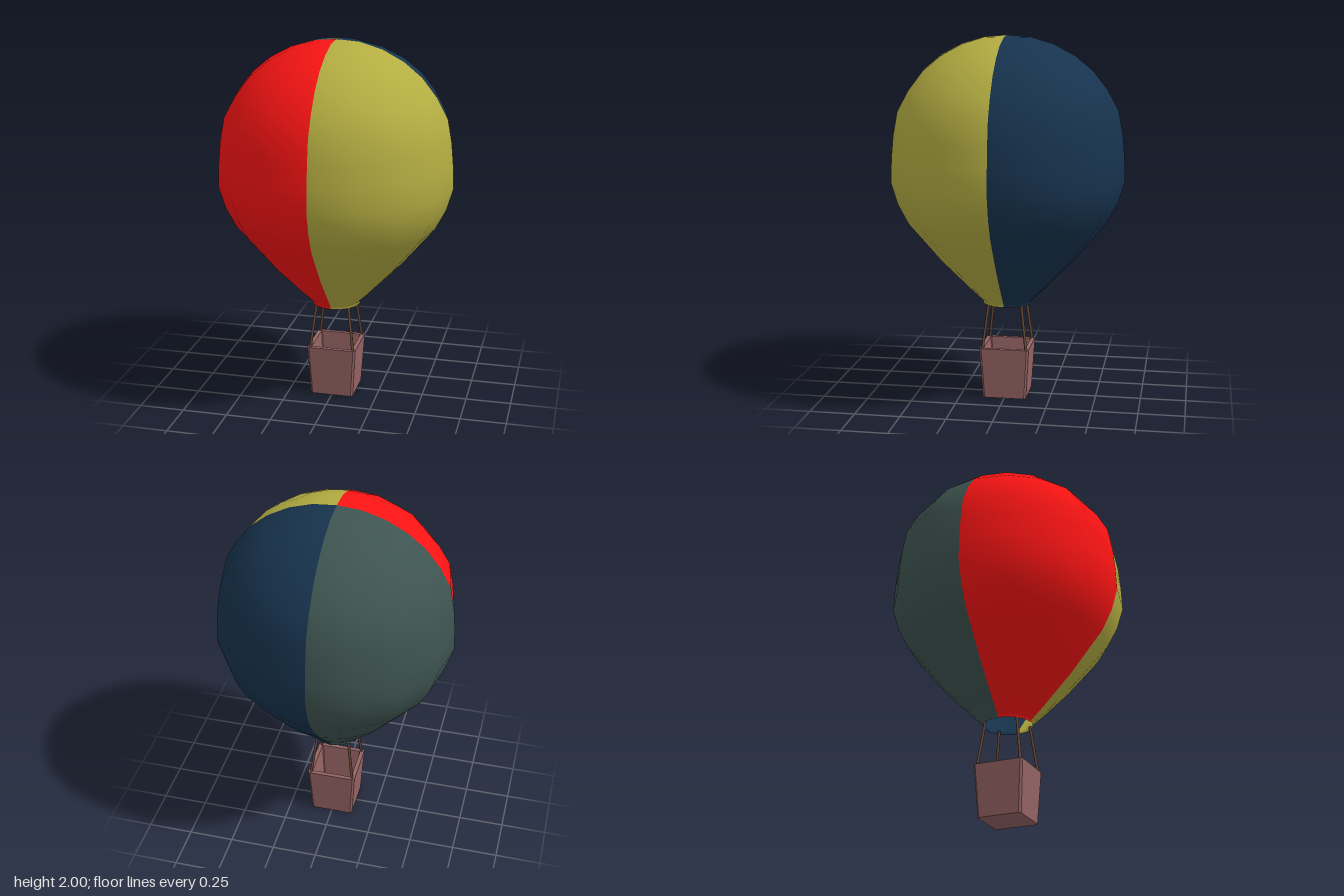
import * as THREE from 'three';

const material = (color, extra = {}) => new THREE.MeshStandardMaterial({ color, ...extra });

// Square ring with cut corners, counter-clockwise seen from above
function ring(half, cut, y) {
  const a = half, b = half - cut;
  return [[a, b], [a, -b], [b, -a], [-b, -a], [-a, -b], [-a, b], [-b, a], [b, a]]
    .map(([x, z]) => new THREE.Vector3(x, y, z));
}

// Joins successive rings with quads and caps both ends
function loft(rings) {
  const pos = [];
  const tri = (...pts) => pts.forEach((p) => pos.push(p.x, p.y, p.z));
  for (let k = 0; k < rings.length - 1; k++) {
    const lo = rings[k], hi = rings[k + 1];
    for (let i = 0; i < lo.length; i++) {
      const j = (i + 1) % lo.length;
      tri(lo[i], lo[j], hi[j]);
      tri(lo[i], hi[j], hi[i]);
    }
  }
  const first = rings[0], last = rings[rings.length - 1];
  for (let i = 1; i < first.length - 1; i++) {
    tri(first[0], first[i + 1], first[i]);
    tri(last[0], last[i], last[i + 1]);
  }
  const geometry = new THREE.BufferGeometry();
  geometry.setAttribute('position', new THREE.Float32BufferAttribute(pos, 3));
  geometry.computeVertexNormals();
  return geometry;
}

function rope(from, to, radius, mat) {
  const dir = to.clone().sub(from);
  const mesh = new THREE.Mesh(new THREE.CylinderGeometry(radius, radius, dir.length(), 6), mat);
  mesh.position.copy(from).add(to).multiplyScalar(0.5);
  mesh.quaternion.setFromUnitVectors(new THREE.Vector3(0, 1, 0), dir.normalize());
  return mesh;
}

export function createModel() {
  const model = new THREE.Group();
  model.name = 'hotAirBalloon';

  // Envelope: four coloured quarter panels, open at the mouth
  const profile = [
    [0.137, 0.525], [0.137, 0.54], [0.21, 0.61], [0.37, 0.775], [0.55, 0.99], [0.607, 1.1],
    [0.643, 1.22], [0.638, 1.35], [0.627, 1.47], [0.603, 1.6], [0.543, 1.71], [0.465, 1.81],
    [0.365, 1.892], [0.25, 1.953], [0.125, 1.99], [0, 2],
  ].map(([r, y]) => new THREE.Vector2(r, y));
  const envelope = new THREE.Group();
  envelope.name = 'envelope';
  const panels = [
    ['frontLeftPanel', 0xb4ad42], ['backLeftPanel', 0x17334e],
    ['backRightPanel', 0x3e5450], ['frontRightPanel', 0xfa1414],
  ];
  panels.forEach(([name, color], i) => {
    const geometry = new THREE.LatheGeometry(profile, 4, i * Math.PI / 2, Math.PI / 2);
    const panel = new THREE.Mesh(geometry, material(color, { side: THREE.DoubleSide }));
    panel.name = name;
    envelope.add(panel);
  });
  model.add(envelope);

  // Basket: tapered open box with cut corners, a flat rim and an inner floor
  const basket = new THREE.Mesh(loft([
    ring(0.121, 0.011, 0), ring(0.138, 0.011, 0.285),
    ring(0.115, 0.005, 0.285), ring(0.1, 0.005, 0.02),
  ]), material(0x966464, { flatShading: true }));
  basket.name = 'basket';
  model.add(basket);

  // Ropes from the basket corners to the mouth
  const ropeMaterial = material(0x6b4a35);
  const ropes = new THREE.Group();
  ropes.name = 'ropes';
  for (const sx of [-1, 1]) for (const sz of [-1, 1]) {
    const mesh = rope(
      new THREE.Vector3(sx * 0.123, 0.27, sz * 0.123),
      new THREE.Vector3(sx * 0.09, 0.54, sz * 0.09), 0.008, ropeMaterial);
    mesh.name = (sz > 0 ? 'front' : 'back') + (sx > 0 ? 'Left' : 'Right') + 'Rope';
    ropes.add(mesh);
  }
  model.add(ropes);
  return model;
}
